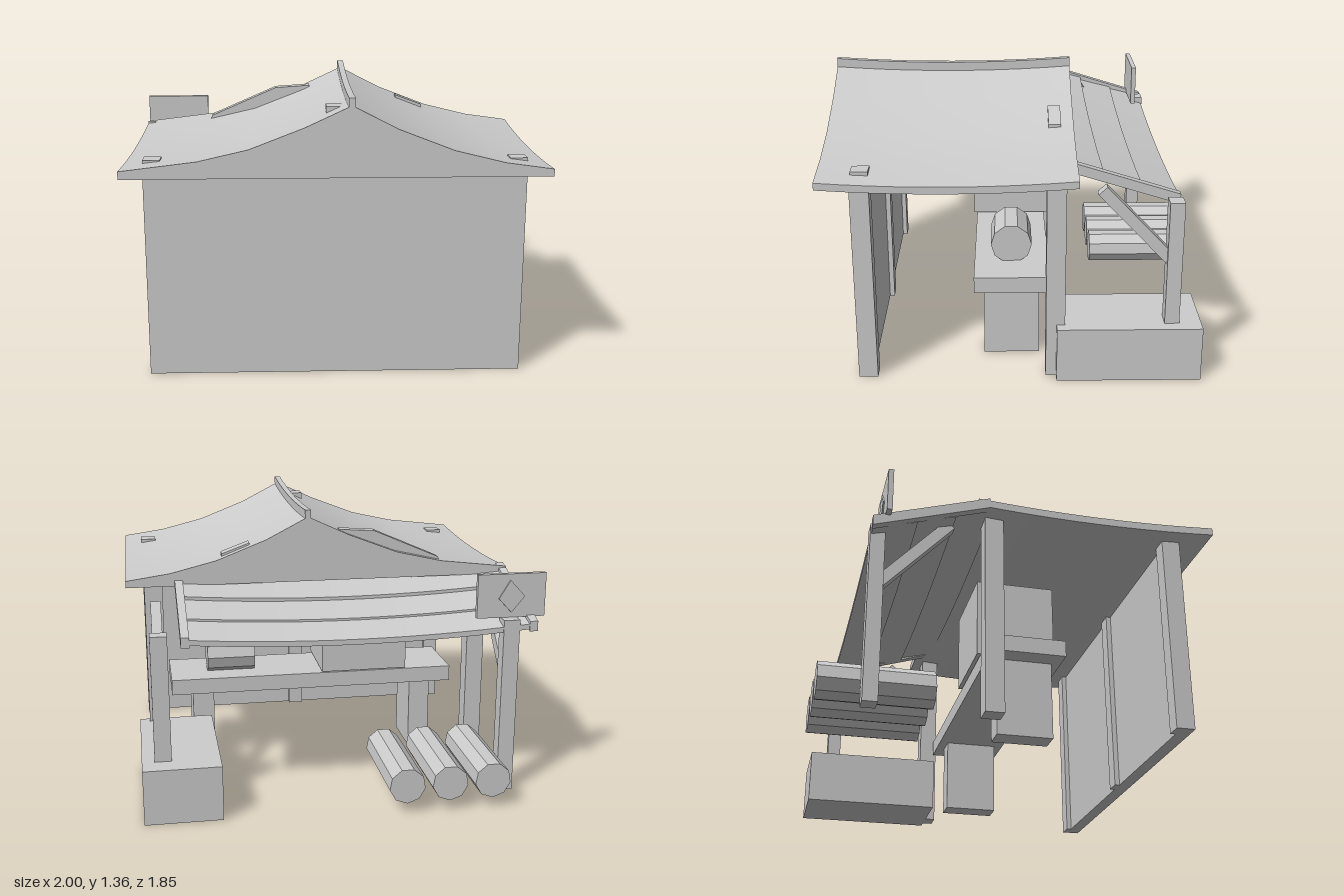
import * as THREE from 'three';
import { toCreasedNormals } from 'three/addons/utils/BufferGeometryUtils.js';

export function createModel() {
  const root = new THREE.Group();
  const grey = new THREE.MeshStandardMaterial({ color: 0xcccccc });
  grey.name = 'plain grey';

  const add = (name, geo) => {
    const m = new THREE.Mesh(geo, grey);
    m.name = name;
    root.add(m);
    return m;
  };
  // box from its limits on each axis
  const box = (name, x0, x1, y0, y1, z0, z1) => {
    const m = add(name, new THREE.BoxGeometry(x1 - x0, y1 - y0, z1 - z0));
    m.position.set((x0 + x1) / 2, (y0 + y1) / 2, (z0 + z1) / 2);
    return m;
  };
  // outline in x and y, extruded along z
  const slab = (pts, z0, z1, steps = 1) => {
    const s = new THREE.Shape(pts.map(p => new THREE.Vector2(p[0], p[1])));
    const g = new THREE.ExtrudeGeometry(s, { depth: z1 - z0, steps, bevelEnabled: false });
    return g.translate(0, 0, z0);
  };
  // shift every vertex upward by a rule
  const bend = (g, rule) => {
    const p = g.attributes.position;
    for (let i = 0; i < p.count; i++) {
      p.setY(i, p.getY(i) + rule(p.getX(i), p.getZ(i)));
    }
    g.deleteAttribute('uv');
    return toCreasedNormals(g, 0.4);
  };

  // main roof, swept concave slopes that dip midway along the ridge
  const dip = (x, z) => -0.022 * (1 - ((z - 0.335) / 0.585) ** 2);
  const roof = [
    [-0.95, 0.993], [1, 0.993], [1, 1.027], [0.78, 1.058], [0.55, 1.115],
    [0.3, 1.212], [0.09, 1.32], [-0.12, 1.222], [-0.37, 1.125], [-0.6, 1.072], [-0.95, 1.03],
  ];
  add('mainRoof', bend(slab(roof, -0.25, 0.92, 10), dip));
  add('ridgeBeam', bend(slab([[0.075, 1.29], [0.105, 1.29], [0.105, 1.355], [0.075, 1.355]],
    -0.25, 0.92, 10), dip));

  // rafter pieces that break through the roof
  add('leftRafter', slab([[-0.62, 1.02], [-0.05, 1.1], [-0.08, 1.24], [-0.26, 1.228], [-0.6, 1.08]],
    -0.19, -0.135));
  add('rightRafter', slab([[0.38, 1.08], [0.52, 1.08], [0.52, 1.135], [0.38, 1.187]], -0.19, -0.13));

  // front wall and main posts
  box('frontWall', -0.86, 0.91, 0, 0.995, 0.715, 0.78);
  for (const [x0, x1, top] of [[-0.86, -0.78, 1.045], [-0.02, 0.06, 1.29], [0.83, 0.91, 1.045]]) {
    box('frontPost', x0, x1, 0, top, 0.69, 0.77);
  }
  for (const x0 of [-0.86, 0.82]) box('rearPost', x0, x0 + 0.09, 0, 1.0, -0.2, -0.11);

  // awning of three overlapping sagging boards
  const sag = x => -0.035 * (1 - ((x + 0.095) / 0.83) ** 2);
  const slope = z => 1.0 + (z + 0.25) * 0.31;
  for (let i = 0; i < 3; i++) {
    const z1 = -0.17 - 0.18 * i;
    const z0 = Math.max(z1 - 0.21, -0.735);
    const g = new THREE.BoxGeometry(1.64, 0.026, z1 - z0, 14, 1, 1);
    g.translate(-0.095, 0, (z0 + z1) / 2);
    const lift = i === 0 ? 0.012 : 0;
    add('awningBoard', bend(g, (x, z) =>
      slope(z) - 0.018 + lift * 0.5 + 0.012 * (z1 - z) / (z1 - z0) + sag(x)));
  }
  for (const x of [-0.93, 0.74]) {
    const g = new THREE.BoxGeometry(0.04, 0.05, 0.545);
    g.translate(x, 0, -0.4675);
    add('awningEndBeam', bend(g, (_, z) => slope(z) - 0.003));
  }

  // awning posts and diagonal braces
  box('leftAwningPost', -0.86, -0.78, 0, 0.88, -0.74, -0.67);
  box('rightAwningPost', 0.82, 0.9, 0.26, 0.88, -0.74, -0.67);
  for (const x of [-0.82, 0.86]) {
    const b = add('brace', new THREE.BoxGeometry(0.05, 0.055, 0.47));
    b.position.set(x, 0.765, -0.525);
    b.rotation.x = -Math.atan2(0.33, 0.31);
  }

  // large block at the rear corner
  box('storageBlock', 0.59, 0.96, 0, 0.27, -0.845, -0.16);

  // counter with two legs, a chest and a lying drum
  box('counterTop', -0.7, 0.79, 0.38, 0.46, -0.13, 0.23);
  box('counterLeg', 0.57, 0.68, 0, 0.38, -0.085, 0.185);
  box('counterLeg', -0.6, -0.49, 0, 0.38, -0.085, 0.185);
  box('chest', -0.45, 0, 0.47, 0.87, -0.145, 0.245);
  const drum = add('drum', new THREE.CylinderGeometry(0.1, 0.1, 0.25, 10).toNonIndexed());
  drum.geometry.computeVertexNormals();
  drum.rotation.z = Math.PI / 2;
  drum.position.set(0.47, 0.545, 0.05);

  // logs lying behind the stall
  for (let i = 0; i < 3; i++) {
    const g = new THREE.CylinderGeometry(0.088, 0.088, 0.53, 9).toNonIndexed();
    g.computeVertexNormals();
    const log = add('log', g);
    log.rotation.x = Math.PI / 2;
    log.position.set(-0.695 + 0.21 * i, 0.143, -0.665);
  }

  // hanging board with a raised plain diamond
  box('signBoard', -1, -0.66, 0.88, 1.095, -0.685, -0.66);
  add('signDiamond', slab([[-0.83, 0.905], [-0.765, 0.975], [-0.82, 1.065], [-0.895, 0.985]],
    -0.692, -0.684));

  return root;
}
